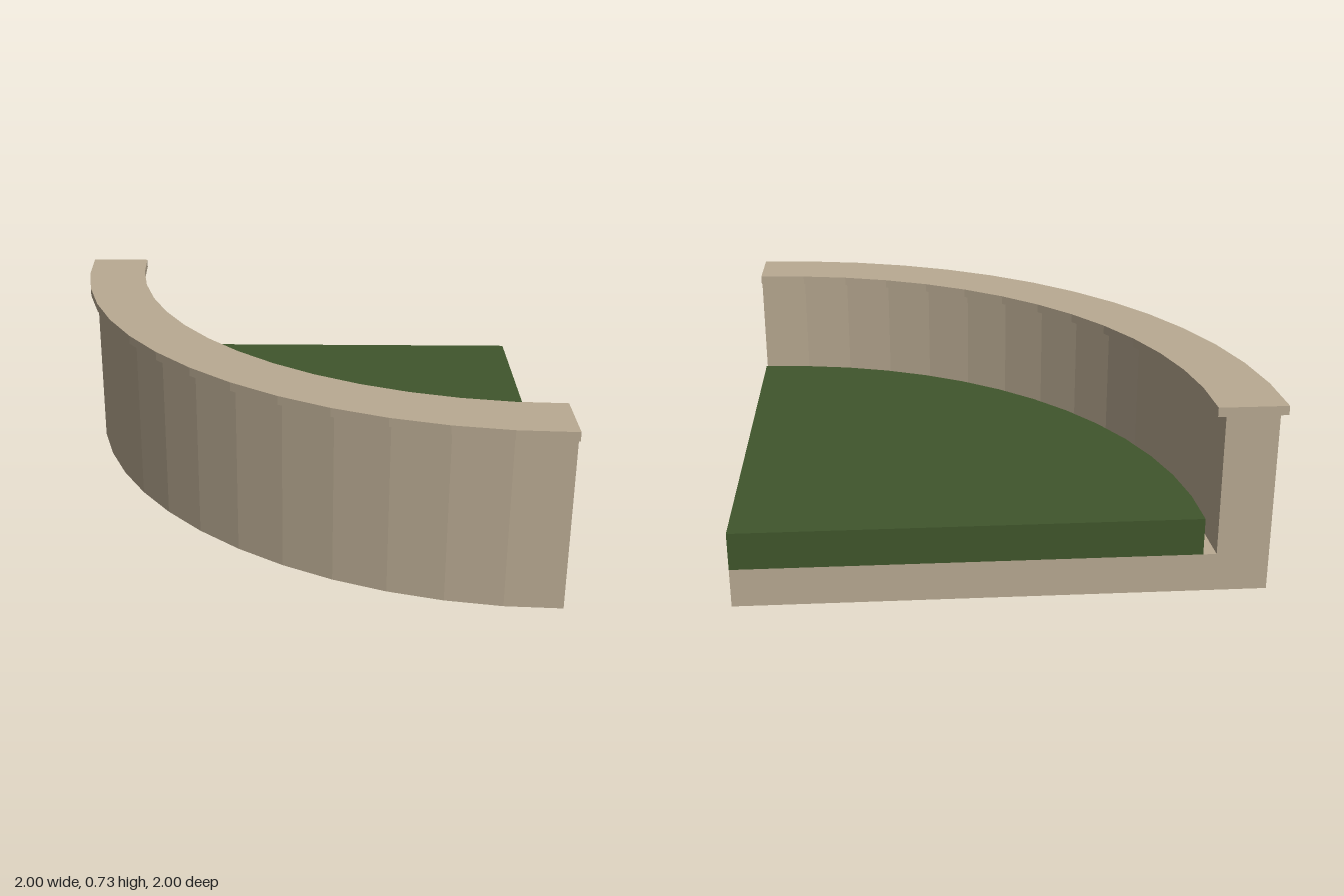
import * as THREE from 'three';

const SEGMENTS = 14;

// Quarter ring (or quarter disc when inner is 0) around the corner x = 1, z = -1
function quarter(inner, outer, bottom, top) {
  const arc = (r) => Array.from({ length: SEGMENTS + 1 }, (_, i) => {
    const a = (i / SEGMENTS) * Math.PI / 2;
    return new THREE.Vector2(1 - r * Math.cos(a), 1 - r * Math.sin(a));
  });
  const innerEdge = inner > 0 ? arc(inner).reverse() : [new THREE.Vector2(1, 1)];
  const shape = new THREE.Shape([...arc(outer), ...innerEdge]);
  const geometry = new THREE.ExtrudeGeometry(shape, { depth: top - bottom, bevelEnabled: false });
  return geometry.rotateX(-Math.PI / 2).translate(0, bottom, 0);
}

export function createModel() {
  const stone = new THREE.MeshStandardMaterial({ color: 0xb9aa92 });
  stone.name = 'stone';
  const grass = new THREE.MeshStandardMaterial({ color: 0x40562c });
  grass.name = 'grass';

  const group = new THREE.Group();
  group.name = 'cornerPlanter';
  const add = (name, material, ...size) => {
    const mesh = new THREE.Mesh(quarter(...size), material);
    mesh.name = name;
    group.add(mesh);
  };

  // Planter: floor slab, curved wall and overhanging rim
  add('floor', stone, 0, 1.97, 0, 0.15);
  add('wall', stone, 1.775, 1.97, 0.15, 0.695);
  add('rim', stone, 1.745, 2, 0.695, 0.73);

  // Planted bed, with a narrow gap to the wall
  add('grassBed', grass, 0, 1.725, 0.15, 0.295);

  return group;
}
